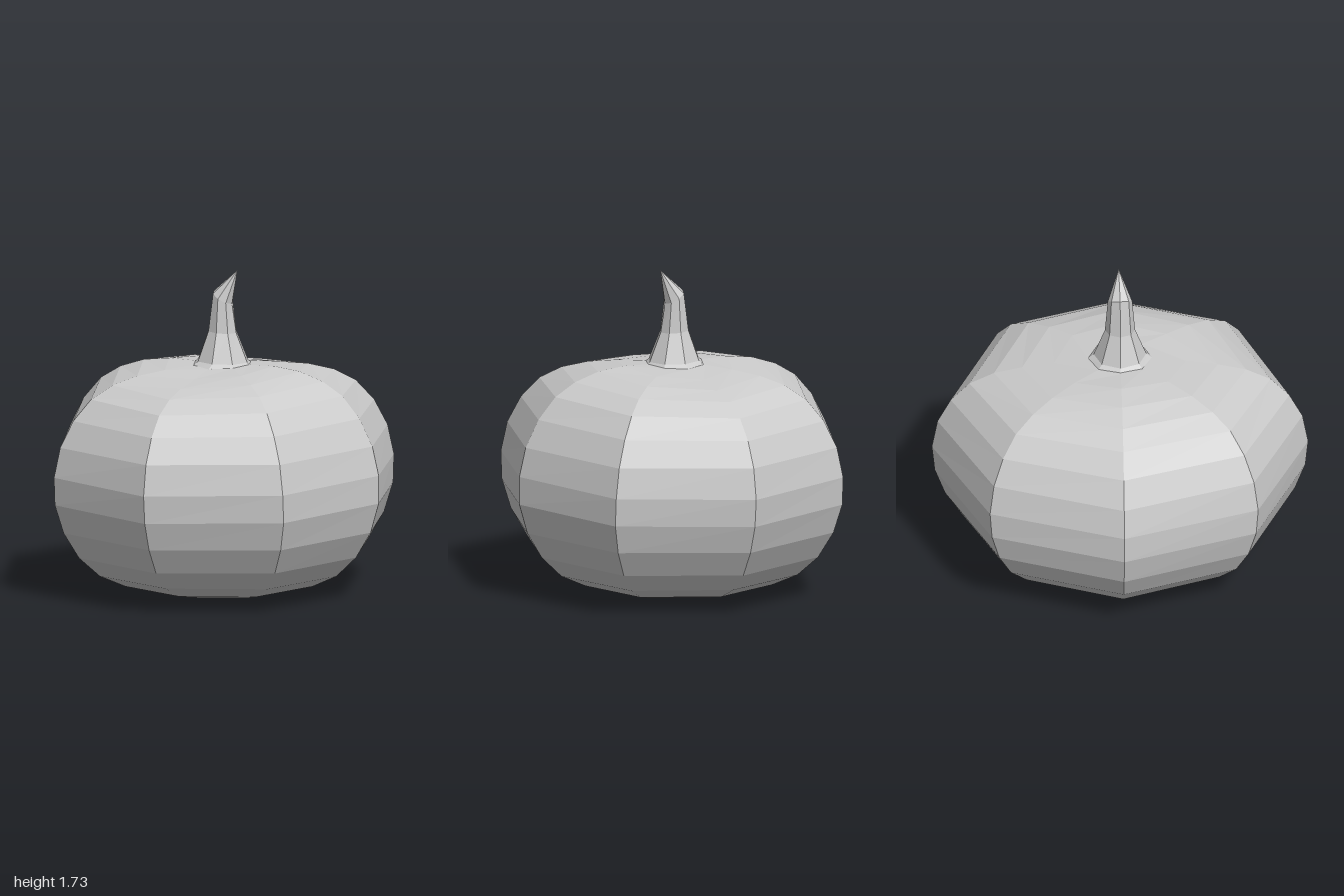
import * as THREE from 'three';

const SIDES = 8;

// Skin a stack of 8-point rings (bottom to top); a one-point ring closes an end
function loft(name, rings) {
  const pos = [];
  const at = (ring, j) => ring[j % ring.length];
  const tri = (...pts) => pts.forEach((p) => pos.push(...p));
  for (let i = 0; i < rings.length - 1; i++) {
    const lo = rings[i], hi = rings[i + 1];
    for (let j = 0; j < SIDES; j++) {
      if (lo.length > 1) tri(at(lo, j), at(lo, j + 1), at(hi, j + 1));
      if (hi.length > 1) tri(at(lo, j), at(hi, j + 1), at(hi, j));
    }
  }
  const geo = new THREE.BufferGeometry();
  geo.setAttribute('position', new THREE.Float32BufferAttribute(pos, 3));
  geo.computeVertexNormals();
  const mesh = new THREE.Mesh(geo, new THREE.MeshStandardMaterial({ color: 0xcccccc, flatShading: true }));
  mesh.name = name;
  return mesh;
}

// Body ring: [x radius, z radius, height at the sides, height at front and back]
function bodyRing([rx, rz, yx, yz]) {
  return Array.from({ length: SIDES }, (_, j) => {
    const a = (j / SIDES) * Math.PI * 2;
    const s = Math.sin(a), c = Math.cos(a);
    const diagonal = j % 2 === 1;
    // diagonal ribs bulge slightly, a little more on the +x side
    const kx = diagonal ? (s > 0 ? 1.055 : 1.005) : 1;
    const kz = diagonal ? (c > 0 ? 1.015 : 1.0) : 1;
    return [rx * s * kx, yx * s * s + yz * c * c, rz * c * kz];
  });
}

// Stem ring: [left x, right x, z radius, left y, right y]
function stemRing([x0, x1, rz, y0, y1]) {
  return Array.from({ length: SIDES }, (_, j) => {
    const a = (j / SIDES) * Math.PI * 2;
    const t = (Math.sin(a) + 1) / 2;
    return [x0 + (x1 - x0) * t, y0 + (y1 - y0) * t, rz * Math.cos(a)];
  });
}

export function createModel() {
  const group = new THREE.Group();
  group.name = 'pumpkin';

  // Squat faceted body, from the underside to the base of the stem
  const profile = [
    [0.20, 0.21, 0.005, 0.005],
    [0.37, 0.40, 0.02, 0.02],
    [0.53, 0.57, 0.055, 0.055],
    [0.67, 0.72, 0.12, 0.12],
    [0.785, 0.84, 0.23, 0.22],
    [0.87, 0.93, 0.37, 0.36],
    [0.917, 0.985, 0.53, 0.51],
    [0.917, 1.0, 0.68, 0.66],
    [0.88, 0.97, 0.835, 0.825],
    [0.805, 0.90, 0.98, 0.96],
    [0.705, 0.80, 1.095, 1.065],
    [0.59, 0.67, 1.165, 1.13],
    [0.455, 0.52, 1.21, 1.165],
    [0.305, 0.35, 1.228, 1.19],
    [0.165, 0.17, 1.225, 1.215],
  ];
  group.add(loft('body', [[[0, 0, 0]], ...profile.map(bodyRing), [[0, 1.225, 0]]]));

  // Flared stem with a slanted tip leaning to +x
  const stem = [
    [-0.165, 0.17, 0.17, 1.215, 1.215],
    [-0.135, 0.15, 0.14, 1.24, 1.235],
    [-0.075, 0.085, 0.08, 1.40, 1.39],
    [-0.045, 0.06, 0.065, 1.61, 1.545],
  ];
  group.add(loft('stem', [...stem.map(stemRing), [[0.09, 1.73, -0.005]]]));

  return group;
}
